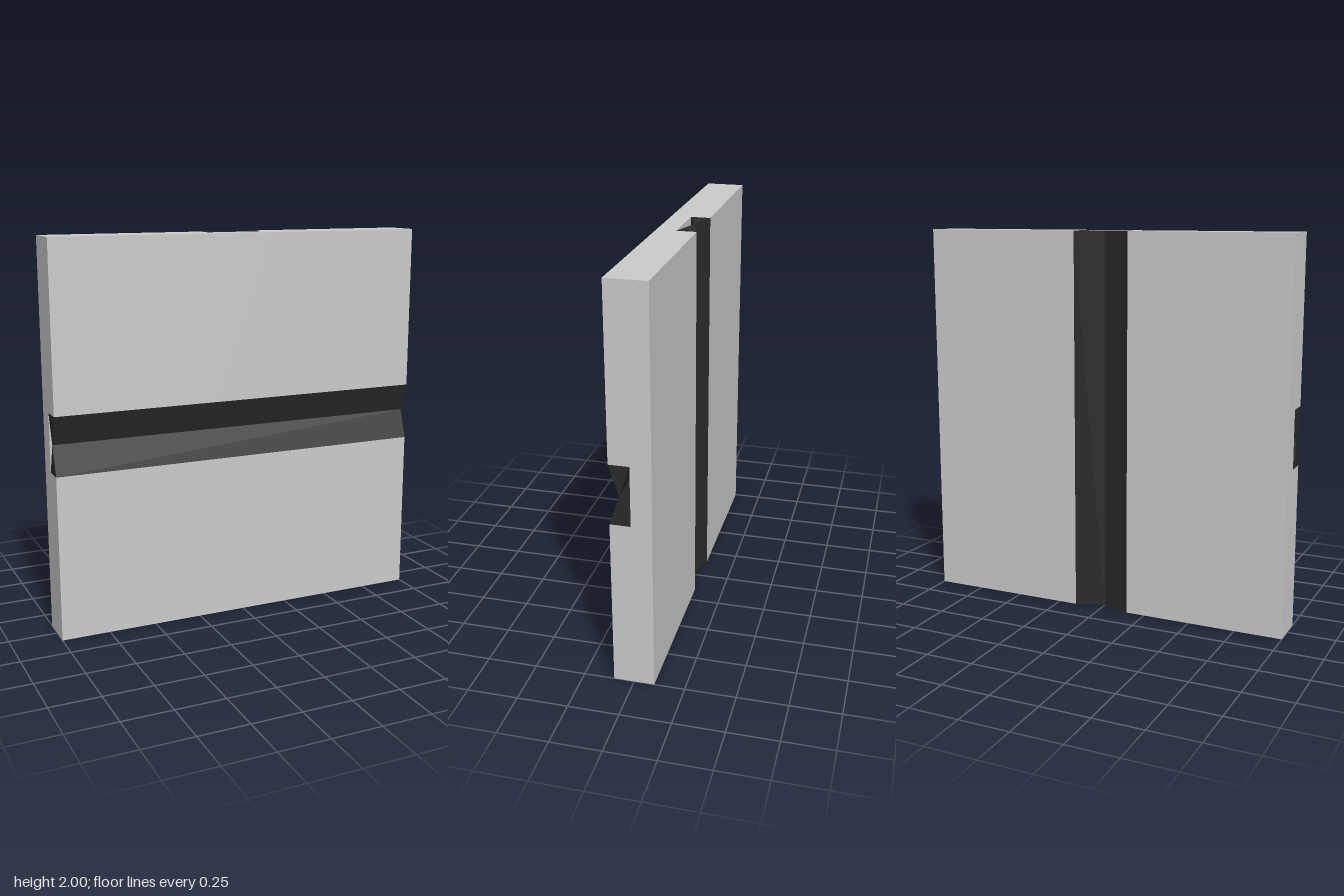
import * as THREE from 'three';

const grey = new THREE.MeshStandardMaterial({ color: 0xcccccc, flatShading: true });
const dark = new THREE.MeshStandardMaterial({ color: 0x2a2a2a, flatShading: true });

// Slab with a horizontal channel in the front half and a vertical one in the back half.
// Only faces between a solid cell and an empty one are emitted, so there are no inner walls.
function slabGeometry() {
  const cuts = [[-1, -0.15, 0.15, 1], [0, 0.85, 1.15, 2], [-0.1, 0, 0.1]];
  const solid = (c) =>
    c.every((v, a) => v >= 0 && v < cuts[a].length - 1) && (c[2] === 1 ? c[1] !== 1 : c[0] !== 1);
  const positions = [];
  for (let i = 0; i < 3; i++) for (let j = 0; j < 3; j++) for (let k = 0; k < 2; k++) {
    const cell = [i, j, k];
    if (!solid(cell)) continue;
    for (let axis = 0; axis < 3; axis++) for (const side of [0, 1]) {
      const next = [...cell];
      next[axis] += side ? 1 : -1;
      if (solid(next)) continue;
      const u = (axis + 1) % 3, v = (axis + 2) % 3;
      const corner = (du, dv) => {
        const p = [];
        p[axis] = cuts[axis][cell[axis] + side];
        p[u] = cuts[u][cell[u] + du];
        p[v] = cuts[v][cell[v] + dv];
        return p;
      };
      const [a, b, c, d] = [corner(0, 0), corner(1, 0), corner(1, 1), corner(0, 1)];
      positions.push(...(side ? [a, b, c, a, c, d] : [a, c, b, a, d, c]).flat());
    }
  }
  const geometry = new THREE.BufferGeometry();
  geometry.setAttribute('position', new THREE.Float32BufferAttribute(positions, 3));
  geometry.computeVertexNormals();
  return geometry;
}

// Two long wedges that meet tip to tip, running along x
function wedgePair(name) {
  const pair = new THREE.Group();
  pair.name = name;
  for (const s of [1, -1]) {
    const triangle = new THREE.Shape([
      new THREE.Vector2(0, 0),
      new THREE.Vector2(0.05, 0.15 * s),
      new THREE.Vector2(-0.05, 0.15 * s),
    ]);
    const geometry = new THREE.ExtrudeGeometry(triangle, { depth: 2, bevelEnabled: false });
    geometry.translate(0, 0, -1).rotateY(Math.PI / 2);
    const wedge = new THREE.Mesh(geometry, dark);
    wedge.name = name + 'Wedge';
    pair.add(wedge);
  }
  return pair;
}

export function createModel() {
  const model = new THREE.Group();
  model.name = 'groovedPanel';

  const slab = new THREE.Mesh(slabGeometry(), grey);
  slab.name = 'slab';

  // Horizontal inlay in front, vertical inlay at the back
  const front = wedgePair('frontInlay');
  front.position.set(0, 1, 0.05);
  const back = wedgePair('backInlay');
  back.rotation.z = Math.PI / 2;
  back.position.set(0, 1, -0.05);

  model.add(slab, front, back);
  return model;
}
